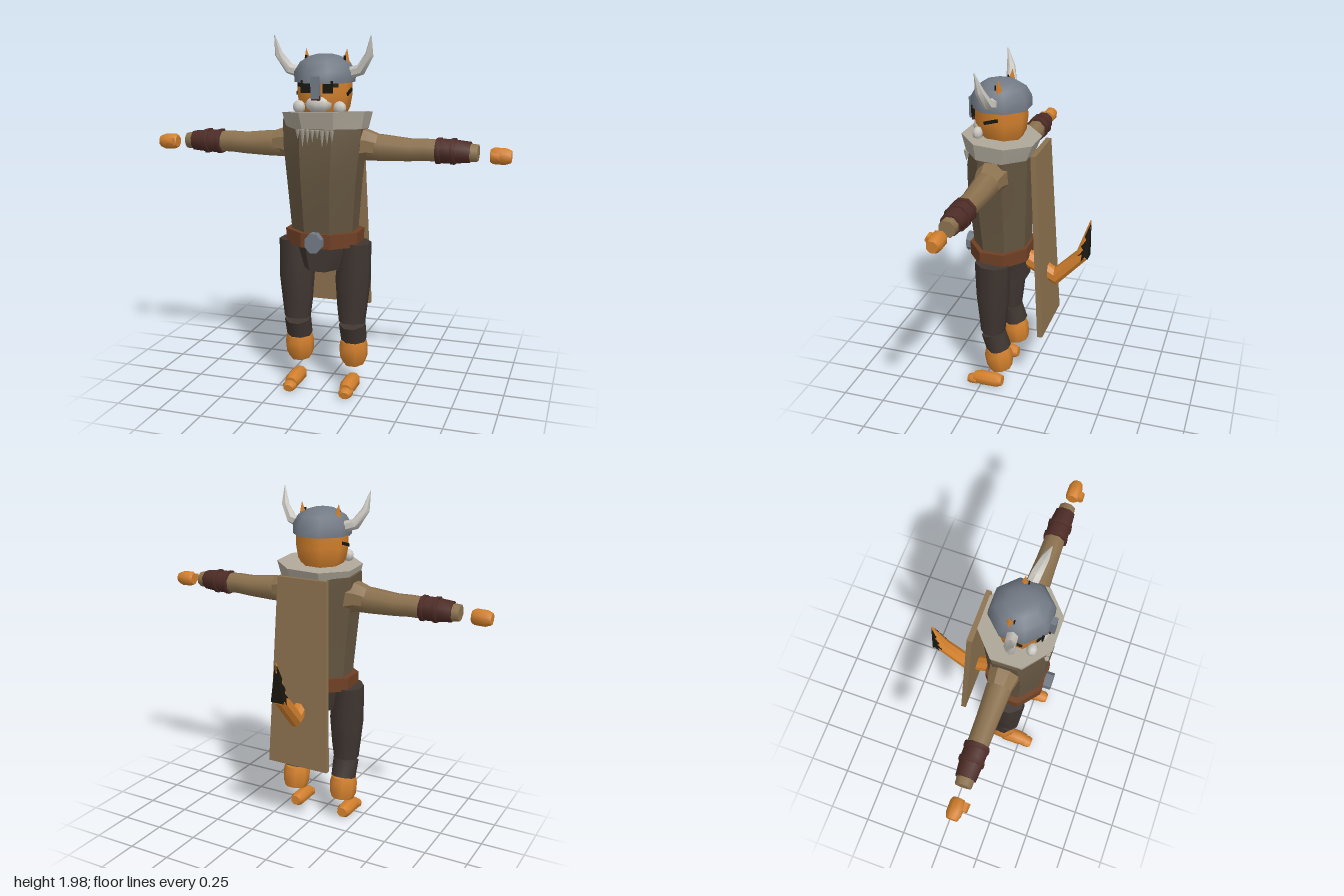
import * as THREE from 'three';
import { toCreasedNormals } from 'three/addons/utils/BufferGeometryUtils.js';

const mat = (name, color) => {
  const m = new THREE.MeshStandardMaterial({ color });
  m.name = name;
  return m;
};

const X = new THREE.Vector3(1, 0, 0), Y = new THREE.Vector3(0, 1, 0), Z = new THREE.Vector3(0, 0, 1);

// Closed skin through rings; each row is [x, y, z, half size along u, half size across u]
function loft(rows, u, crease = 1, n = 8) {
  const pos = [], index = [], k = 1 / Math.cos(Math.PI / n);
  const centres = rows.map(r => new THREE.Vector3(r[0], r[1], r[2]));
  const last = rows.length - 1;
  rows.forEach((r, i) => {
    const t = centres[Math.min(i + 1, last)].clone().sub(centres[Math.max(i - 1, 0)]).normalize();
    const v = t.clone().cross(u).normalize();
    const w = v.clone().cross(t).normalize();
    for (let j = 0; j < n; j++) {
      const a = (j + 0.5) / n * Math.PI * 2;
      const p = centres[i].clone().addScaledVector(w, Math.cos(a) * r[3] * k).addScaledVector(v, Math.sin(a) * r[4] * k);
      pos.push(p.x, p.y, p.z);
    }
  });
  const c0 = pos.length / 3, c1 = c0 + 1, end = last * n;
  for (const c of [centres[0], centres[last]]) pos.push(c.x, c.y, c.z);
  for (let j = 0; j < n; j++) {
    const q = (j + 1) % n;
    for (let i = 0; i < last; i++) {
      const a = i * n + j, b = i * n + q;
      index.push(a, b, b + n, a, b + n, a + n);
    }
    index.push(c0, q, j, c1, end + j, end + q);
  }
  const g = new THREE.BufferGeometry();
  g.setAttribute('position', new THREE.Float32BufferAttribute(pos, 3));
  g.setIndex(index);
  return toCreasedNormals(g, crease);
}

export function createModel() {
  const root = new THREE.Group();
  root.name = 'hornedWarrior';
  const fur = mat('orangeFur', 0xd2802d), steel = mat('steel', 0x727a85), tunic = mat('tunicBrown', 0x645540);
  const tan = mat('tanCloth', 0x8c724f), trousers = mat('darkTrousers', 0x403631), leather = mat('darkLeather', 0x4e2c26);
  const belt = mat('beltLeather', 0x6f4024), grey = mat('greyFur', 0xaea799), ivory = mat('ivory', 0xc9c6bf), black = mat('black', 0x18160f);

  const add = (name, geo, m, x = 0, y = 0, z = 0) => {
    const mesh = new THREE.Mesh(geo, m);
    mesh.name = name;
    mesh.position.set(x, y, z);
    root.add(mesh);
    return mesh;
  };
  const box = (name, m, w, h, d, x, y, z) => add(name, new THREE.BoxGeometry(w, h, d), m, x, y, z);

  // Torso, belt and hips
  add('tunic', loft([[0, 0.87, 0.15, 0.17, 0.145], [0, 0.93, 0.15, 0.173, 0.15], [0, 1.22, 0.157, 0.195, 0.17],
    [0, 1.4, 0.152, 0.215, 0.172], [0, 1.53, 0.14, 0.222, 0.16]], X, 0.6), tunic);
  add('belt', loft([[0, 0.855, 0.153, 0.205, 0.168], [0, 0.935, 0.153, 0.205, 0.168]], X, 0.3), belt);
  add('buckle', loft([[0, 0.893, 0.32, 0.045, 0.053], [0, 0.893, 0.365, 0.045, 0.053]], X, 0.3), steel);
  add('hips', loft([[0, 0.72, 0.15, 0.105, 0.15], [0, 0.86, 0.15, 0.16, 0.15]], X, 0.4), trousers);

  // Fur collar with hanging tufts
  add('collar', loft([[0.015, 1.485, 0.152, 0.21, 0.172], [0.012, 1.575, 0.145, 0.23, 0.2]], X, 0.3), grey);
  for (let i = 0; i < 8; i++) {
    const x = -0.095 + i * 0.027, h = 0.05 + 0.045 * ((i * 3) % 4) / 3;
    const tuft = add('collarTuft', new THREE.ConeGeometry(0.014, h, 5), grey, x, 1.495 - h / 2, 0.325);
    tuft.rotation.x = Math.PI;
  }

  // Head and face
  add('head', loft([[0, 1.55, 0.15, 0.1, 0.1], [0, 1.6, 0.15, 0.125, 0.125], [0, 1.67, 0.15, 0.137, 0.133],
    [0, 1.76, 0.15, 0.135, 0.13]], X), fur);
  const muzzle = add('muzzle', new THREE.SphereGeometry(1, 8, 6), ivory, 0, 1.625, 0.262);
  muzzle.scale.set(0.074, 0.05, 0.048);
  box('nose', leather, 0.045, 0.025, 0.02, 0, 1.66, 0.302);
  add('helmet', loft([[0, 1.735, 0.15, 0.151, 0.155], [0, 1.79, 0.15, 0.153, 0.152], [0, 1.842, 0.15, 0.122, 0.125],
    [0, 1.872, 0.15, 0.075, 0.08], [0, 1.882, 0.15, 0.04, 0.04]], X), steel);
  box('noseGuard', steel, 0.042, 0.115, 0.038, 0, 1.715, 0.31);

  for (const s of [-1, 1]) {
    // Face details
    box('eye', black, 0.055, 0.065, 0.008, s * 0.06, 1.717, 0.287);
    box('brow', black, 0.035, 0.02, 0.008, s * 0.095, 1.725, 0.275).rotation.y = s * 0.5;
    box('cheekStripe', black, 0.009, 0.017, 0.08, s * 0.14, 1.686, 0.163).rotation.x = 0.27;
    const whisker = add('whiskerTuft', new THREE.SphereGeometry(1, 8, 6), ivory, s * 0.113, 1.607, 0.248);
    whisker.scale.set(0.036, 0.036, 0.029);

    // Horns and ears
    add('horn', loft([[s * 0.12, 1.78, 0.15, 0.028, 0.028], [s * 0.2, 1.802, 0.158, 0.028, 0.026],
      [s * 0.252, 1.88, 0.178, 0.021, 0.02], [s * 0.267, 1.98, 0.2, 0.002, 0.002]], Z, 1, 6), ivory);
    const ear = add('ear', new THREE.ConeGeometry(0.03, 0.1, 4), fur, s * 0.11, 1.86, 0.125);
    ear.rotation.z = -s * 0.1;
    box('innerEar', black, 0.012, 0.045, 0.006, s * 0.107, 1.852, 0.146);

    // Arm: shoulder, sleeve, bracer, hand
    add('shoulder', loft([[s * 0.17, 1.4, 0.14, 0.1, 0.085], [s * 0.24, 1.405, 0.14, 0.077, 0.075],
      [s * 0.31, 1.395, 0.14, 0.06, 0.06]], Y, 0.4), tan);
    add('sleeve', loft([[s * 0.2, 1.395, 0.14, 0.07, 0.068], [s * 0.32, 1.393, 0.14, 0.068, 0.064],
      [s * 0.47, 1.388, 0.14, 0.058, 0.057], [s * 0.55, 1.392, 0.14, 0.056, 0.055],
      [s * 0.64, 1.39, 0.14, 0.055, 0.053], [s * 0.83, 1.387, 0.143, 0.042, 0.042]], Y), tan);
    add('bracer', loft([[s * 0.61, 1.39, 0.14, 0.062, 0.061], [s * 0.7, 1.39, 0.14, 0.06, 0.059],
      [s * 0.79, 1.389, 0.142, 0.052, 0.052]], Y), leather);
    for (const x of [0.625, 0.7])
      add('bracerStrap', loft([[s * (x - 0.012), 1.39, 0.14, 0.066, 0.065], [s * (x + 0.012), 1.39, 0.14, 0.066, 0.065]], Y), leather);
    add('hand', loft([[s * 0.893, 1.378, 0.147, 0.032, 0.03], [s * 0.91, 1.378, 0.147, 0.041, 0.038],
      [s * 0.97, 1.376, 0.147, 0.041, 0.038], [s * 1, 1.375, 0.147, 0.03, 0.028]], Y), fur);
    add('thumb', loft([[s * 0.9, 1.38, 0.19, 0.02, 0.017], [s * 0.945, 1.378, 0.19, 0.018, 0.015]], Y, 1, 6), fur);

    // Leg: thigh, shin, ankle, paw
    add('thigh', loft([[s * 0.178, 0.87, 0.155, 0.078, 0.095], [s * 0.165, 0.66, 0.16, 0.092, 0.088],
      [s * 0.162, 0.5, 0.163, 0.079, 0.074], [s * 0.162, 0.41, 0.166, 0.069, 0.066]], X), trousers);
    add('shin', loft([[s * 0.162, 0.4, 0.165, 0.07, 0.066], [s * 0.163, 0.29, 0.13, 0.067, 0.067]], X), trousers);
    add('ankle', loft([[s * 0.162, 0.29, 0.138, 0.068, 0.066], [s * 0.162, 0.255, 0.136, 0.075, 0.076],
      [s * 0.162, 0.19, 0.127, 0.073, 0.073], [s * 0.162, 0.155, 0.12, 0.06, 0.062]], X), fur);
    add('paw', loft([[s * 0.162, 0.052, 0.115, 0.03, 0.028], [s * 0.162, 0.05, 0.15, 0.042, 0.041],
      [s * 0.162, 0.05, 0.245, 0.042, 0.042], [s * 0.162, 0.046, 0.29, 0.034, 0.032]], X), fur);
    add('toes', loft([[s * 0.165, 0.035, 0.27, 0.035, 0.028], [s * 0.165, 0.033, 0.31, 0.036, 0.028],
      [s * 0.165, 0.03, 0.33, 0.026, 0.02]], X), fur);
  }

  // Stiff cape, wider at the hem
  const capeShape = new THREE.Shape([[-0.19, 0], [0.19, 0], [0.15, 1.095], [-0.15, 1.095]].map(p => new THREE.Vector2(...p)));
  const cape = add('cape', new THREE.ExtrudeGeometry(capeShape, { depth: 0.03, bevelEnabled: false }), tan, 0, 0.43, -0.142);
  cape.rotation.x = 0.05;

  // Bent tail with a jagged dark tip
  add('tail', loft([[0, 0.85, 0.03, 0.04, 0.05], [0, 0.742, -0.167, 0.04, 0.05], [0, 0.905, -0.32, 0.037, 0.037],
    [0, 1.125, -0.363, 0.003, 0.003]], X, 0.5), fur);
  const tip = new THREE.Shape([[0.364, 1.11], [0.335, 1.03], [0.345, 1.01], [0.318, 0.97], [0.332, 0.95], [0.3, 0.91],
    [0.325, 0.925], [0.32, 0.88], [0.342, 0.91], [0.358, 0.895]].map(p => new THREE.Vector2(...p)));
  const tipGeo = new THREE.ExtrudeGeometry(tip, { depth: 0.076, bevelEnabled: false });
  tipGeo.translate(0, 0, -0.038).rotateY(Math.PI / 2);
  // Narrow the dark fur towards the point
  const p = tipGeo.attributes.position;
  for (let i = 0; i < p.count; i++) p.setX(i, p.getX(i) * Math.min(1.03, 0.12 + (1.125 - p.getY(i)) * 4.6));
  tipGeo.computeVertexNormals();
  add('tailTip', tipGeo, black);

  return root;
}
